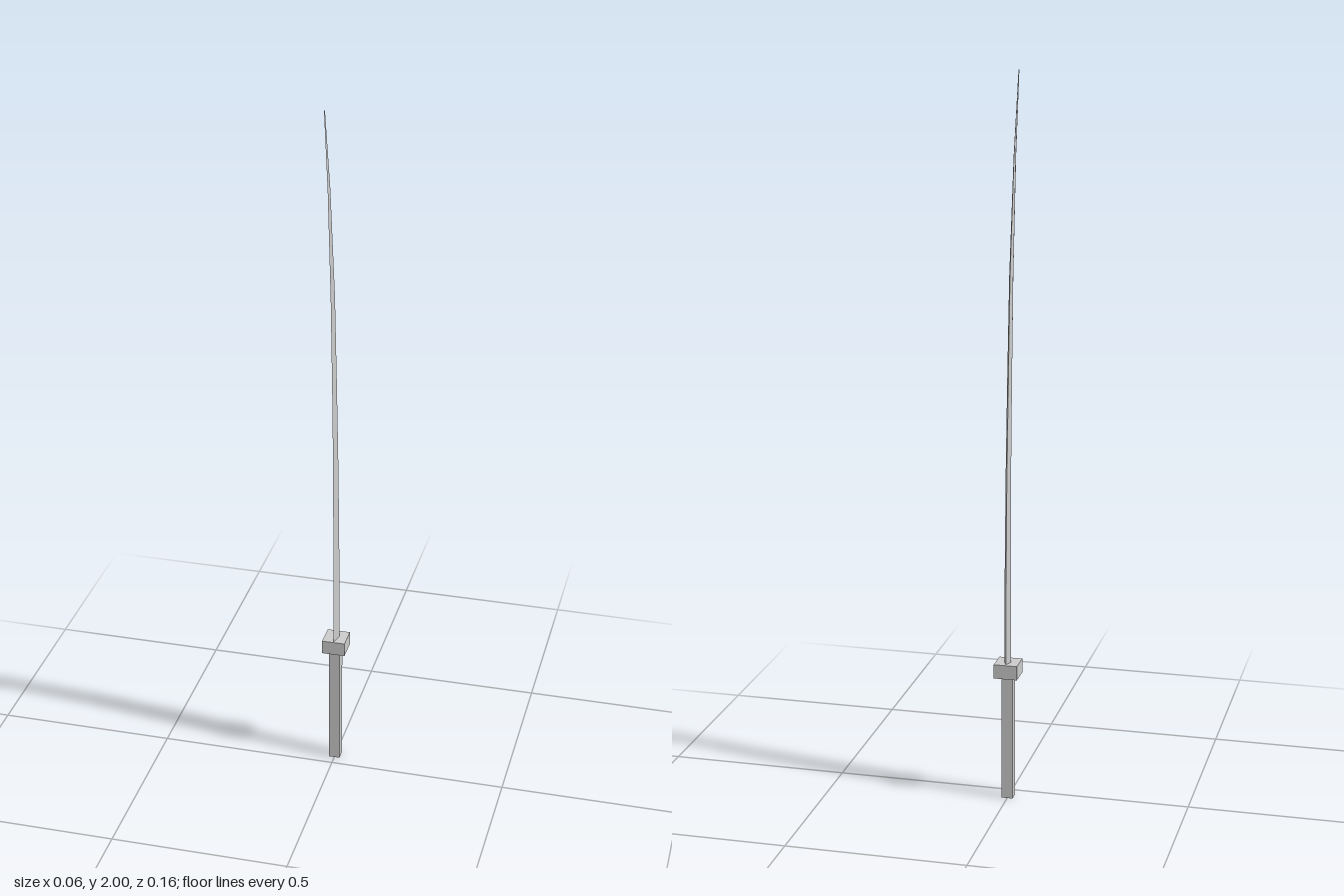
import * as THREE from 'three';

const material = new THREE.MeshStandardMaterial({ color: 0xcccccc, flatShading: true });

// Blade stations: height, cutting edge z, spine z, half thickness
const STATIONS = [
  [0.4, -0.016, -0.073, 0.009],
  [0.667, -0.016, -0.07, 0.0085],
  [0.933, -0.014, -0.06, 0.0075],
  [1.2, -0.003, -0.043, 0.0065],
  [1.467, 0.013, -0.024, 0.0055],
  [1.78, 0.044, 0.02, 0.003],
  [2.0, 0.08, 0.071, 0.001],
];

// Loft a four-sided section, thickest near the spine, along the curve
function bladeGeometry() {
  const positions = [];
  const indices = [];
  for (const [y, edge, spine, half] of STATIONS) {
    const ridge = spine + (edge - spine) * 0.36;
    positions.push(0, y, edge, half, y, ridge, 0, y, spine, -half, y, ridge);
  }
  for (let s = 0; s < STATIONS.length - 1; s++) {
    for (let i = 0; i < 4; i++) {
      const a = s * 4 + i;
      const b = s * 4 + ((i + 1) % 4);
      indices.push(a, b, b + 4, a, b + 4, a + 4);
    }
  }
  const t = (STATIONS.length - 1) * 4;
  indices.push(0, 2, 1, 0, 3, 2, t, t + 1, t + 2, t, t + 2, t + 3);
  const indexed = new THREE.BufferGeometry();
  indexed.setAttribute('position', new THREE.Float32BufferAttribute(positions, 3));
  indexed.setIndex(indices);
  const geometry = indexed.toNonIndexed();
  geometry.computeVertexNormals();
  return geometry;
}

export function createModel() {
  const group = new THREE.Group();
  group.name = 'curvedSword';

  const add = (name, geometry, y = 0, z = 0) => {
    const mesh = new THREE.Mesh(geometry, material);
    mesh.name = name;
    mesh.position.set(0, y, z);
    group.add(mesh);
  };

  // Square grip, square guard and curved blade
  add('handle', new THREE.BoxGeometry(0.031, 0.36, 0.031), 0.18, -0.044);
  add('guard', new THREE.BoxGeometry(0.065, 0.04, 0.065), 0.38, -0.048);
  add('blade', bladeGeometry());

  return group;
}
